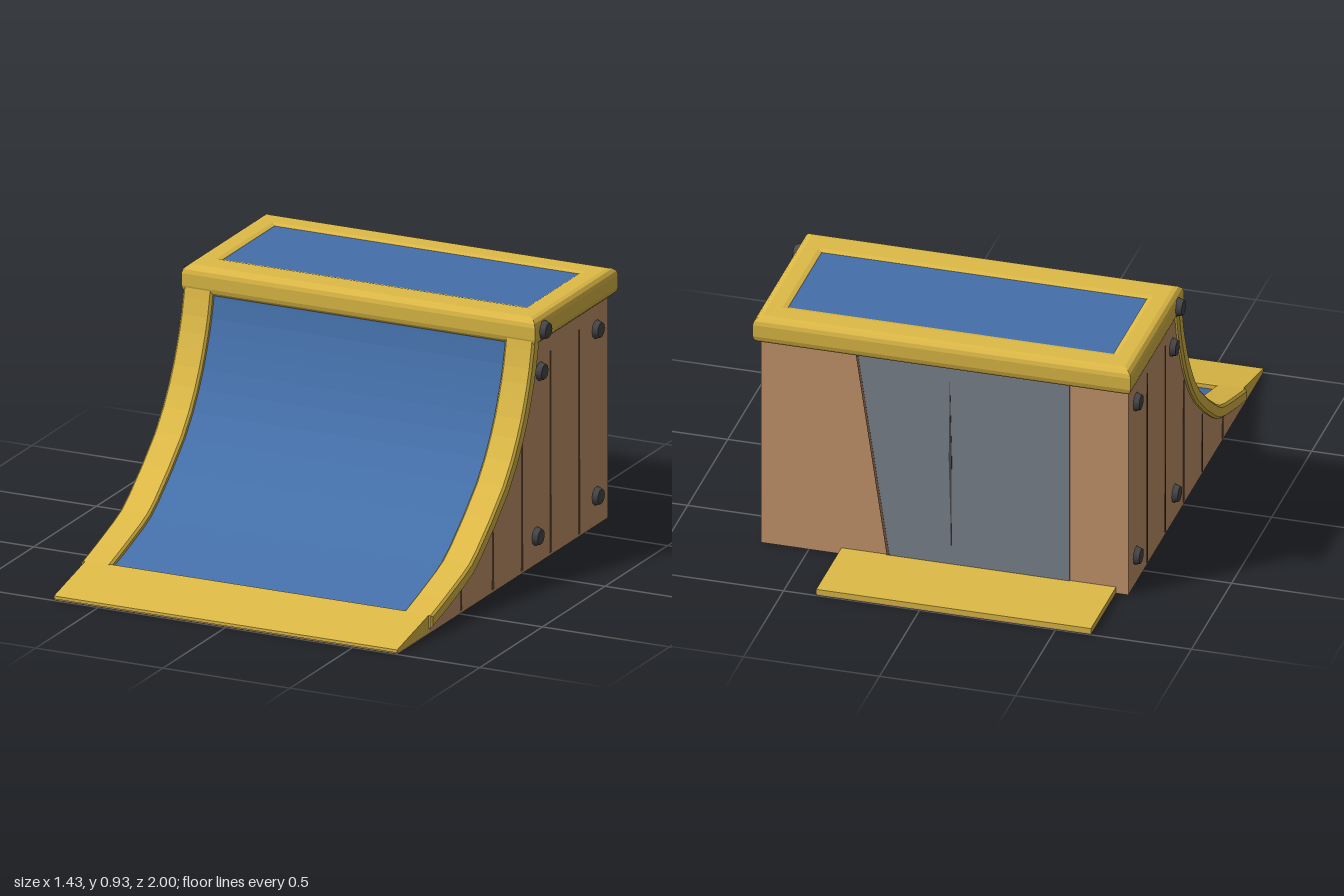
import * as THREE from 'three';

export function createModel() {
  const mat = (name, color) => {
    const m = new THREE.MeshStandardMaterial({ color });
    m.name = name;
    return m;
  };
  const yellow = mat('yellow trim', 0xdeba46);
  const blue = mat('blue deck', 0x4470aa);
  const wood = mat('wood', 0xc6966c);
  const grey = mat('grey panel', 0x7c858f);
  const dark = mat('dark bolt', 0x4a4a4d);
  const brown = mat('plank gap', 0x70523c);

  const model = new THREE.Group();
  model.name = 'quarterPipe';
  const add = (name, geometry, material) => {
    const mesh = new THREE.Mesh(geometry, material);
    mesh.name = name;
    model.add(mesh);
    return mesh;
  };
  const box = (name, material, x0, x1, y0, y1, z0, z1) =>
    add(name, new THREE.BoxGeometry(x1 - x0, y1 - y0, z1 - z0), material)
      .position.set((x0 + x1) / 2, (y0 + y1) / 2, (z0 + z1) / 2);

  // Extrudes a (z, y) outline across x, from x0 to x1
  const across = (points, x0, x1, bevel = 0) => {
    const g = new THREE.ExtrudeGeometry(new THREE.Shape(points), {
      depth: x1 - x0 - 2 * bevel, bevelEnabled: bevel > 0, bevelSize: bevel,
      bevelThickness: bevel, bevelOffset: -bevel, bevelSegments: 1,
    });
    return g.rotateY(-Math.PI / 2).translate(x1 - bevel, 0, 0);
  };
  const v = (x, y) => new THREE.Vector2(x, y);

  // Riding curve in (z, y), and copies sunk below it
  const curve = new THREE.SplineCurve([
    v(0.75, 0.07), v(0.5, 0.145), v(0.38, 0.205), v(0.17, 0.375),
    v(0.06, 0.52), v(0, 0.64), v(-0.04, 0.75), v(-0.065, 0.86),
  ]);
  const steps = 14;
  const sunk = (d) => Array.from({ length: steps + 1 }, (_, i) => {
    const p = curve.getPoint(i / steps), t = curve.getTangent(i / steps);
    return v(Math.min(0.75, p.x + t.y * d), p.y - Math.abs(t.x) * d);
  });
  // Normal of the curve points up and forward, so sinking goes down and back
  const inset = (d) => sunk(0).map((p, i) => {
    const t = curve.getTangent(i / steps);
    return v(i === 0 ? 0.75 : p.x - t.y * d, p.y + t.x * d);
  });
  const band = (a, b) => [...inset(a), ...inset(b).reverse()];

  // Wooden body and base sheet
  const bodyLine = inset(0.04).filter((p) => p.y < 0.83);
  add('body', across([v(-0.685, 0), v(0.75, 0), ...bodyLine, v(-0.1, 0.84), v(-0.685, 0.84)],
    -0.675, 0.675), wood);
  box('frontBase', wood, -0.675, 0.675, 0, 0.006, 0.74, 0.995);
  box('backBase', wood, -0.63, 0.38, 0, 0.006, -0.998, -0.68);

  // Curved deck and side rails
  add('curvedDeck', across(band(0.02, 0.05), -0.585, 0.585), blue);
  add('leftRail', across(band(0, 0.05), 0.575, 0.69, 0.008), yellow);
  add('rightRail', across(band(0, 0.05), -0.69, -0.575, 0.008), yellow);

  // Entry wedge and rear foot plate
  add('entryPlate', across([v(0.74, 0.006), v(1, 0.006), v(1, 0.017), v(0.75, 0.07), v(0.74, 0.07)],
    -0.675, 0.675), yellow);
  box('rearPlate', yellow, -0.63, 0.38, 0.006, 0.025, -1, -0.68);

  // Rounded frame around the platform
  const rect = (path, x, a, b) => path.moveTo(-x, a).lineTo(x, a).lineTo(x, b).lineTo(-x, b).closePath();
  const b = 0.03;
  const outline = rect(new THREE.Shape(), 0.695 - b, 0.06 + b, 0.725 - b);
  outline.holes.push(rect(new THREE.Path(), 0.615, 0.175, 0.625));
  const frame = new THREE.ExtrudeGeometry(outline, {
    depth: 0.105 - 2 * b, bevelSize: b, bevelThickness: b, bevelSegments: 3,
  });
  add('platformFrame', frame.rotateX(-Math.PI / 2).translate(0, 0.82 + b, 0), yellow);
  box('platformDeck', blue, -0.61, 0.61, 0.83, 0.919, -0.62, -0.18);

  // Tapered metal panel on the back, with a central crack
  const backPlate = (name, pts, thick, material) => {
    const g = new THREE.ExtrudeGeometry(new THREE.Shape(pts), { depth: thick, bevelEnabled: false });
    add(name, g.translate(0, 0, -0.685 - thick), material);
  };
  backPlate('backPanel', [v(-0.46, 0.01), v(0.2, 0.01), v(0.32, 0.83), v(-0.46, 0.83)], 0.004, grey);
  backPlate('panelEdge', [v(0.2, 0.01), v(0.21, 0.01), v(0.328, 0.83), v(0.32, 0.83)], 0.005, brown);
  backPlate('panelCrack', [v(-0.025, 0.1), v(-0.016, 0.45), v(-0.02, 0.76), v(-0.027, 0.45)], 0.006, dark);

  // Plank gaps and bolts on both sides
  const gaps = [[0.49, 0.09], [0.235, 0.24], [0.003, 0.5], [-0.225, 0.76], [-0.453, 0.77]];
  const bolts = [[-0.13, 0.87, 0.7], [-0.14, 0.71, 0.68], [-0.59, 0.73, 0.68],
    [-0.11, 0.105, 0.68], [-0.59, 0.11, 0.68]];
  for (const side of [-1, 1]) {
    const label = side > 0 ? 'left' : 'right';
    for (const [z, top] of gaps) {
      const pts = [v(z - 0.007, 0.01), v(z + 0.006, 0.01), v(z + 0.003, top), v(z - 0.002, top)];
      const x = side * 0.675;
      add(label + 'PlankGap', across(pts, x - 0.002, x + 0.002), brown);
    }
    for (const [z, y, x] of bolts) {
      const bolt = add(label + 'Bolt', new THREE.CylinderGeometry(0.028, 0.038, 0.03, 10), dark);
      bolt.rotation.z = -side * Math.PI / 2;
      bolt.position.set(side * x, y, z);
    }
  }
  return model;
}
